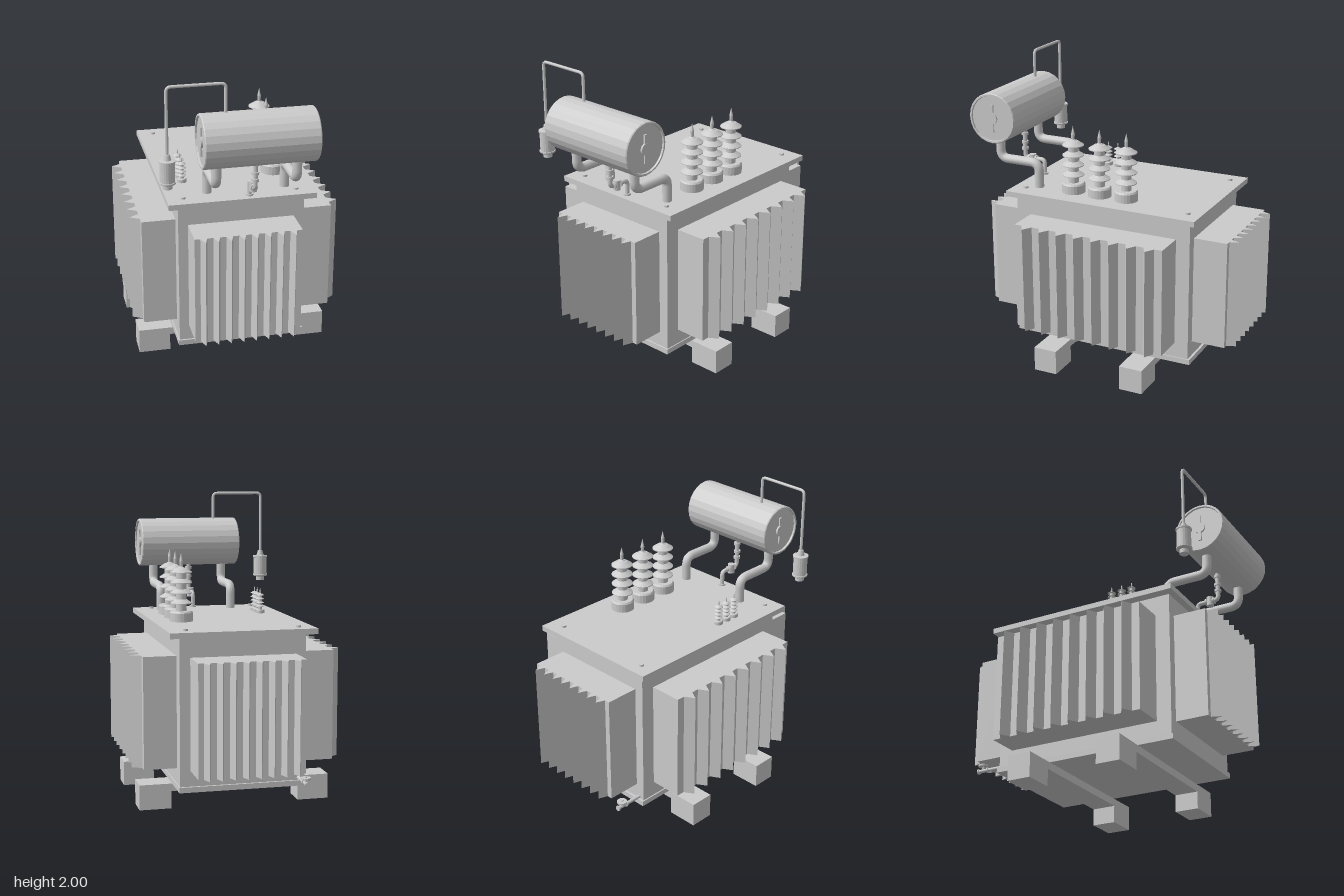
import * as THREE from 'three';

const grey = new THREE.MeshStandardMaterial({ color: 0xcccccc });
const flat = new THREE.MeshStandardMaterial({ color: 0xcccccc, flatShading: true });

function add(parent, name, geometry, x = 0, y = 0, z = 0, material = grey) {
  const mesh = new THREE.Mesh(geometry, material);
  mesh.name = name;
  mesh.position.set(x, y, z);
  parent.add(mesh);
  return mesh;
}

// Box given by its limits on each axis
function block(parent, name, x0, x1, y0, y1, z0, z1) {
  return add(parent, name, new THREE.BoxGeometry(x1 - x0, y1 - y0, z1 - z0),
    (x0 + x1) / 2, (y0 + y1) / 2, (z0 + z1) / 2);
}

// Upright disc or rod between two heights
function rod(parent, name, r, x, y0, y1, z, rTop = r) {
  return add(parent, name, new THREE.CylinderGeometry(rTop, r, y1 - y0, 20), x, (y0 + y1) / 2, z);
}

// Pipe through corner points with rounded bends
function pipe(parent, name, points, radius, bend) {
  const p = points.map(a => new THREE.Vector3(...a));
  const path = new THREE.CurvePath();
  let from = p[0];
  for (let i = 1; i < p.length - 1; i++) {
    const a = p[i].clone().add(p[i - 1].clone().sub(p[i]).setLength(bend));
    const b = p[i].clone().add(p[i + 1].clone().sub(p[i]).setLength(bend));
    path.add(new THREE.LineCurve3(from, a));
    path.add(new THREE.QuadraticBezierCurve3(a, p[i], b));
    from = b;
  }
  path.add(new THREE.LineCurve3(from, p[p.length - 1]));
  return add(parent, name, new THREE.TubeGeometry(path, 70, radius, 12));
}

// Cooling box facing local +z with a row of wedge fins
function radiator(parent, name, width, depth, pitch, finHalf, finDepth) {
  const y0 = 0.3, y1 = 1.02;
  const group = new THREE.Group();
  group.name = name;
  block(group, 'radiatorBody', -width / 2, width / 2, y0, y1, 0, depth);
  const wedge = new THREE.Shape();
  wedge.moveTo(-finHalf, 0);
  wedge.lineTo(finHalf, 0);
  wedge.lineTo(0, -finDepth);
  const fin = new THREE.ExtrudeGeometry(wedge, { depth: y1 - y0, bevelEnabled: false });
  fin.rotateX(-Math.PI / 2);
  for (let i = 0; i < 8; i++) add(group, 'fin', fin, (i - 3.5) * pitch, y0, depth);
  parent.add(group);
  return group;
}

// Lathed insulator: socket, stacked sheds, pointed terminal
function bushing(parent, name, x, z, r, h, sheds) {
  const core = r * 0.45;
  const pts = [[0, 0], [r, 0], [r, h * 0.13], [r * 0.9, h * 0.155], [core, h * 0.155]];
  const step = h * 0.15;
  for (let i = 0; i < sheds; i++) {
    const y = h * 0.26 + i * step;
    pts.push([core, y], [r * 0.92, y], [r * 0.92, y + h * 0.012], [core, y + h * 0.065]);
  }
  const top = h * 0.26 + (sheds - 1) * step + h * 0.07;
  pts.push([r * 0.3, top], [r * 0.14, top + h * 0.02], [r * 0.16, h * 0.88], [0, h]);
  const geo = new THREE.LatheGeometry(pts.map(p => new THREE.Vector2(...p)), 24);
  return add(parent, name, geo.toNonIndexed(), x, 1.182, z, flat);
}

export function createModel() {
  const model = new THREE.Group();
  model.name = 'transformer';

  // Tank, base rim and lid
  block(model, 'tank', -0.405, 0.41, 0.165, 1.15, -0.655, 0.588);
  block(model, 'baseRim', -0.413, 0.417, 0.165, 0.2, -0.67, 0.6);
  block(model, 'lid', -0.47, 0.48, 1.148, 1.184, -0.71, 0.633);
  for (const x of [-0.365, 0.365])
    for (const z of [-0.62, 0.545]) rod(model, 'lidBolt', 0.016, x, 1.18, 1.197, z);

  // Skids: shallow beam with a deep foot at each end
  for (const z of [0.28, -0.348]) {
    block(model, 'skidBeam', -0.44, 0.43, 0.115, 0.165, z - 0.081, z + 0.081);
    block(model, 'skidFoot', -0.64, -0.432, 0, 0.165, z - 0.081, z + 0.081);
    block(model, 'skidFoot', 0.42, 0.63, 0, 0.165, z - 0.081, z + 0.081);
  }

  // Radiators on the four walls
  radiator(model, 'frontRadiator', 0.685, 0.22, 0.0815, 0.022, 0.065).position.z = 0.585;
  const back = radiator(model, 'backRadiator', 0.685, 0.23, 0.0815, 0.022, 0.06);
  back.position.z = -0.65;
  back.rotation.y = Math.PI;
  for (const s of [-1, 1]) {
    const side = radiator(model, s > 0 ? 'leftRadiator' : 'rightRadiator', 1.05, 0.222, 0.124, 0.037, 0.063);
    side.position.set(s * 0.4, 0, -0.036);
    side.rotation.y = s * Math.PI / 2;
  }

  // Large and small bushings
  for (const z of [-0.158, 0.033, 0.225]) bushing(model, 'largeBushing', 0.293, z, 0.077, 0.45, 4);
  for (const z of [0.127, 0.201, 0.275]) bushing(model, 'smallBushing', -0.322, z, 0.03, 0.175, 4);

  // Oil conservator drum with recessed ends
  const drum = new THREE.Group();
  drum.name = 'conservator';
  drum.position.set(0.057, 1.642, 0.765);
  const L = 0.354, R = 0.17;
  const shell = new THREE.LatheGeometry([[0, -L + 0.012], [0.152, -L + 0.012], [0.154, -L], [0.165, -L],
    [R, -L + 0.006], [R, L - 0.006], [0.165, L], [0.154, L], [0.152, L - 0.012], [0, L - 0.012]]
    .map(p => new THREE.Vector2(...p)), 24);
  shell.rotateZ(-Math.PI / 2);
  add(drum, 'drumShell', shell, 0, 0, 0, flat);
  for (const s of [-1, 1]) {
    const x = s * (L - 0.008);
    add(drum, 'gaugeBoss', new THREE.CylinderGeometry(0.037, 0.037, 0.016, 20).rotateZ(Math.PI / 2), x, 0, 0);
    add(drum, 'gaugeBar', new THREE.BoxGeometry(0.012, 0.185, 0.02), x, 0, 0);
  }
  model.add(drum);

  // Drum support pipes
  for (const x of [-0.198, 0.307])
    pipe(model, 'supportPipe', [[x, 1.52, 0.765], [x, 1.348, 0.765], [x, 1.348, 0.475], [x, 1.18, 0.475]], 0.031, 0.06);

  // Oil feed pipe with flanges and valve
  const fx = 0.055;
  pipe(model, 'feedPipe', [[fx, 1.52, 0.725], [fx, 1.285, 0.725], [fx, 1.285, 0.575], [fx, 1.18, 0.575]], 0.015, 0.03);
  for (const y of [1.445, 1.385, 1.34]) rod(model, 'feedFlange', 0.023, fx, y, y + 0.018, 0.725);
  rod(model, 'feedFoot', 0.024, fx, 1.18, 1.196, 0.575);
  rod(model, 'feedValve', 0.024, fx, 1.25, 1.315, 0.667);
  for (const z of [0.64, 0.694])
    add(model, 'valveFlange', new THREE.CylinderGeometry(0.023, 0.023, 0.012, 16).rotateX(Math.PI / 2), fx, 1.285, z);

  // Breather pipe and canister
  const bx = -0.493, bz = 0.745;
  pipe(model, 'breatherPipe', [[-0.135, 1.79, bz], [-0.135, 1.99, bz], [bx, 1.99, bz], [bx, 1.55, bz]], 0.01, 0.03);
  const canister = new THREE.LatheGeometry([[0, 1.35], [0.03, 1.35], [0.03, 1.377], [0.045, 1.38], [0.052, 1.385],
    [0.052, 1.395], [0.047, 1.396], [0.047, 1.518], [0.052, 1.52], [0.052, 1.532], [0.025, 1.535], [0.017, 1.57], [0, 1.57]]
    .map(p => new THREE.Vector2(...p)), 20);
  add(model, 'breatherCanister', canister, bx, 0, bz, flat);

  // Drain valve at the back
  const dx = -0.365;
  add(model, 'drainPipe', new THREE.CylinderGeometry(0.012, 0.012, 0.2, 14).rotateX(Math.PI / 2), dx, 0.215, -0.75);
  for (const z of [-0.775, -0.845])
    add(model, 'drainFlange', new THREE.CylinderGeometry(0.018, 0.018, 0.01, 14).rotateX(Math.PI / 2), dx, 0.215, z);
  rod(model, 'drainStem', 0.008, dx, 0.215, 0.262, -0.81);
  rod(model, 'drainWheel', 0.033, dx, 0.243, 0.255, -0.81);

  return model;
}
